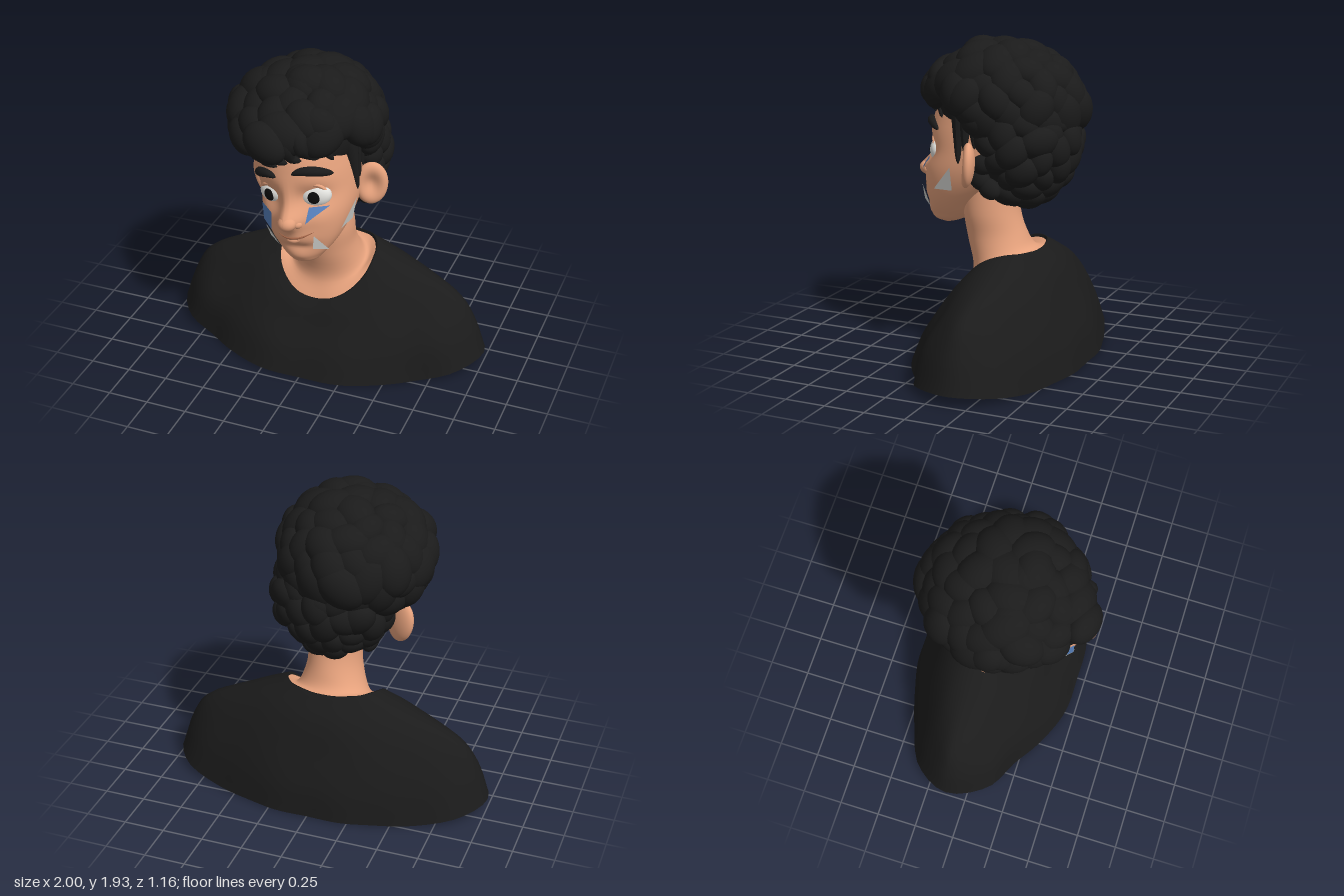
import * as THREE from 'three';

const mat = (name, color, side = THREE.FrontSide) => {
  const m = new THREE.MeshStandardMaterial({ color, side });
  m.name = name;
  return m;
};
const V = (x, y, z) => new THREE.Vector3(x, y, z);

function add(parent, name, geometry, material, pos = [0, 0, 0], scale = [1, 1, 1], rot = [0, 0, 0]) {
  const m = new THREE.Mesh(geometry, material);
  m.name = name;
  m.position.set(...pos);
  m.scale.set(...scale);
  m.rotation.set(...rot);
  parent.add(m);
  return m;
}

// Skin closed rings (running front, left, back, right) from bottom to top
function loft(rings, capBottom = false, capTop = false) {
  const n = rings[0].length, pos = [], idx = [];
  rings.forEach(r => r.forEach(p => pos.push(p.x, p.y, p.z)));
  for (let i = 0; i < rings.length - 1; i++) for (let j = 0; j < n; j++) {
    const a = i * n + j, b = i * n + (j + 1) % n;
    idx.push(a, b, b + n, a, b + n, a + n);
  }
  const cap = (ring, top) => {
    const c = pos.length / 3, mid = V(0, 0, 0);
    ring.forEach(p => mid.addScaledVector(p, 1 / n));
    [mid, ...ring].forEach(p => pos.push(p.x, p.y, p.z));
    for (let j = 0; j < n; j++) {
      const p = c + 1 + j, q = c + 1 + (j + 1) % n;
      idx.push(c, ...(top ? [p, q] : [q, p]));
    }
  };
  if (capBottom) cap(rings[0], false);
  if (capTop) cap(rings.at(-1), true);
  const g = new THREE.BufferGeometry();
  g.setAttribute('position', new THREE.Float32BufferAttribute(pos, 3));
  g.setIndex(idx);
  g.computeVertexNormals();
  return g;
}

// Full smooth ring from the points of its left half
function mirrorRing(half, n = 72) {
  const pts = half.map(p => V(...p));
  const other = half.slice(1, -1).reverse().map(([x, y, z]) => V(-x, y, z));
  const curve = new THREE.CatmullRomCurve3([...pts, ...other], true);
  return Array.from({ length: n }, (_, j) => curve.getPoint(j / n));
}

// Smooth extra rings between key rings
function refine(rings, steps) {
  const cols = rings[0].map((_, j) => new THREE.CatmullRomCurve3(rings.map(r => r[j])));
  return Array.from({ length: steps + 1 }, (_, i) => cols.map(c => c.getPoint(i / steps)));
}

// Tapered strand along a curve, thickest where profile(t) is 1
function strand(points, r, profile, seg = 18) {
  const curve = new THREE.CatmullRomCurve3(points.map(p => V(...p)));
  const g = new THREE.TubeGeometry(curve, seg, r, 10);
  const p = g.attributes.position, v = V(0, 0, 0);
  for (let i = 0; i < p.count; i++) {
    const t = Math.floor(i / 11) / seg, c = curve.getPointAt(t);
    v.fromBufferAttribute(p, i).sub(c).multiplyScalar(Math.max(0.02, profile(t))).add(c);
    p.setXYZ(i, v.x, v.y, v.z);
  }
  g.computeVertexNormals();
  return g;
}
const spindle = t => Math.pow(Math.sin(Math.PI * t), 0.5);
const pointed = t => Math.min(1, 0.6 + t * 2) * Math.sqrt(1 - t);

// Head form: per height, half width, front z and back z
const LEVELS = [-0.385, -0.372, -0.33, -0.26, -0.17, -0.07, 0.05, 0.2, 0.35, 0.5, 0.58];
const FORM = [0.01, 0.235, 0.215, 0.06, 0.28, 0.165, 0.12, 0.315, 0.085, 0.188, 0.325, 0, 0.243, 0.335, -0.12,
  0.28, 0.34, -0.24, 0.297, 0.335, -0.35, 0.3, 0.33, -0.42, 0.28, 0.29, -0.42, 0.2, 0.18, -0.33, 0.01, -0.04, -0.08];
const form = new THREE.CubicInterpolant(LEVELS, FORM, 3);
const headAt = y => {
  const [w, f, b] = form.evaluate(y);
  return { w: Math.max(0.004, w), c: (f + b) / 2, d: Math.max(0.004, (f - b) / 2) };
};
const POWER = 2.2;
// Features: x, y, spread x, spread y, height
const FEATURES = [[0, 0.01, 0.034, 0.08, 0.045], [0, -0.065, 0.05, 0.04, 0.07], [0.137, 0.055, 0.07, 0.05, -0.045],
  [-0.137, 0.055, 0.07, 0.05, -0.045], [0, -0.185, 0.1, 0.045, 0.025], [0.17, -0.08, 0.06, 0.05, 0.01],
  [-0.17, -0.08, 0.06, 0.05, 0.01], [0, -0.245, 0.07, 0.016, -0.015], [0, -0.31, 0.05, 0.03, 0.014]];
const bump = (x, y) => FEATURES.reduce((s, [a, b, sx, sy, h]) =>
  s + h * Math.exp(-(((x - a) / sx) ** 2 + ((y - b) / sy) ** 2) / 2), 0);
const faceZ = (x, y) => {
  const { w, c, d } = headAt(y);
  return c + d * Math.pow(1 - Math.min(1, Math.pow(Math.abs(x / w), POWER)), 1 / POWER) + bump(x, y);
};
const sideX = (y, z) => {
  const { w, c, d } = headAt(y);
  return w * Math.pow(1 - Math.min(1, Math.pow(Math.abs((z - c) / d), POWER)), 1 / POWER);
};
const onFace = ([x, y], lift = 0) => [x, y, faceZ(x, y) + lift];

function headGeometry(n = 90, m = 96) {
  const pow = v => Math.sign(v) * Math.pow(Math.abs(v), 2 / POWER);
  return loft(Array.from({ length: n + 1 }, (_, i) => {
    const y = -0.385 + 0.965 * (1 - Math.cos(Math.PI * i / n)) / 2, { w, c, d } = headAt(y);
    return Array.from({ length: m }, (_, j) => {
      const a = 2 * Math.PI * j / m, x = w * pow(Math.sin(a));
      const k = THREE.MathUtils.smoothstep(Math.cos(a), 0.05, 0.4);
      return V(x, y, c + d * pow(Math.cos(a)) + k * bump(x, y));
    });
  }), true, true);
}

function plate(corners) {
  const g = new THREE.BufferGeometry();
  g.setAttribute('position', new THREE.Float32BufferAttribute(corners.flat(), 3));
  g.setIndex(corners.slice(2).flatMap((_, i) => [0, i + 1, i + 2]));
  g.computeVertexNormals();
  return g;
}

export function createModel() {
  const model = new THREE.Group();
  model.name = 'bust';
  const skin = mat('skin', 0xe5a17c), hairMat = mat('hair black', 0x1b1b1b), cloth = mat('shirt black', 0x1b1b1b);
  const white = mat('eye white', 0xe4e4e0), black = mat('pupil black', 0x0c0c0c), lip = mat('mouth brown', 0xa8684a);
  const blue = mat('paint blue', 0x567fbb, THREE.DoubleSide), grey = mat('paint grey', 0xcccdc9, THREE.DoubleSide);

  // Shirt: base hem, arms, shoulders, slope, neckline, tucked collar edge
  const neckline = [[0, .415, .19], [.12, .437, .18], [.22, .495, .125], [.285, .575, .05], [.305, .64, -.03], [.3, .675, -.11],
    [.27, .69, -.18], [.22, .69, -.235], [.14, .685, -.265], [.07, .68, -.28], [0, .68, -.285]];
  const shirtRings = [
    [[0, 0, .45], [.25, 0, .44], [.5, 0, .34], [.67, 0, .23], [.88, .04, .12], [1, .06, -.13],
      [.88, .04, -.35], [.62, 0, -.47], [.38, 0, -.545], [.2, 0, -.585], [0, 0, -.585]],
    [[0, .15, .38], [.23, .16, .375], [.45, .18, .29], [.62, .2, .2], [.8, .24, .1], [.93, .27, -.13],
      [.8, .25, -.31], [.58, .2, -.43], [.36, .18, -.51], [.18, .17, -.55], [0, .17, -.555]],
    [[0, .28, .29], [.2, .3, .28], [.4, .33, .22], [.55, .37, .12], [.7, .41, .02], [.83, .425, -.13],
      [.72, .42, -.25], [.52, .4, -.36], [.33, .38, -.44], [.17, .37, -.47], [0, .37, -.475]],
    [[0, .36, .24], [.14, .385, .23], [.28, .44, .17], [.39, .52, .075], [.46, .575, -.03], [.5, .59, -.14],
      [.46, .585, -.23], [.36, .57, -.31], [.24, .56, -.36], [.12, .56, -.385], [0, .56, -.39]],
    neckline].map(r => mirrorRing(r));
  const inset = (r, k, dy) => r.map(p => V(p.x * k, p.y + dy, (p.z + 0.05) * k - 0.05));
  const rim = shirtRings[4];
  add(model, 'shirt', loft([...refine(shirtRings, 24), inset(rim, 0.97, 0), inset(rim, 0.95, -0.04)], true), cloth);

  // Neck rising out of the neckline
  const oval = (cx, rx, yf, yb, zf, zb) => rim.map((_, j) => {
    const a = 2 * Math.PI * j / rim.length, f = (1 + Math.cos(a)) / 2;
    return V(cx + rx * Math.sin(a), yb + (yf - yb) * f, zb + (zf - zb) * f);
  });
  add(model, 'neck', loft(refine([inset(rim, 0.98, -0.015), oval(0.01, 0.23, 0.53, 0.69, 0.13, -0.23),
    oval(0.02, 0.172, 0.72, 0.77, 0.17, -0.19), oval(0.025, 0.163, 0.88, 0.9, 0.197, -0.15),
    oval(0, 0.165, 1.08, 1.08, 0.2, -0.14)], 20)), skin);

  // Tilted head
  const head = new THREE.Group();
  head.name = 'head';
  head.position.set(-0.03, 1.17, 0.1);
  head.rotation.set(0, -0.07, 0.165, 'ZYX');
  model.add(head);
  add(head, 'face', headGeometry(), skin);
  const ball = new THREE.SphereGeometry(1, 32, 20);
  add(head, 'noseTip', ball, skin, [0, -0.066, 0.385], [0.056, 0.046, 0.054]);

  // Dished ear
  const earGeo = new THREE.SphereGeometry(1, 32, 28);
  const ep = earGeo.attributes.position;
  for (let i = 0; i < ep.count; i++) {
    const r2 = ep.getX(i) ** 2 + ep.getY(i) ** 2;
    if (ep.getZ(i) > 0) ep.setZ(i, ep.getZ(i) - 1.1 * Math.exp(-r2 * 3.5));
  }
  earGeo.computeVertexNormals();

  for (const s of [1, -1]) {
    const side = s > 0 ? 'left' : 'right';
    add(head, side + 'Nostril', ball, skin, [s * 0.046, -0.082, 0.35], [0.034, 0.028, 0.036]);
    add(head, side + 'Ear', earGeo, skin, [s > 0 ? 0.342 : -0.368, -0.01, -0.065], [0.098, 0.133, 0.048], [0, s * 0.5, -s * 0.15]);
    // Eyes, lids and brows
    const ex = s * 0.137, h = s > 0 ? 0.074 : 0.062;
    add(head, side + 'Eye', ball, white, [ex, 0.058, 0.243], [0.094, h, 0.05], [0, s * 0.3, 0]);
    add(head, side + 'Pupil', ball, black, [ex + s * 0.008, 0.058, 0.285], [0.036, 0.038, 0.013], [0, s * 0.3, 0]);
    add(head, side + 'UpperLid', strand([[ex - s * 0.09, 0.055, 0.275], [ex - s * 0.045, 0.052 + h, 0.283],
      [ex + s * 0.03, 0.057 + h, 0.262], [ex + s * 0.09, 0.055, 0.22]], 0.014, spindle), skin);
    const raise = s > 0 ? 0.004 : -0.018;
    add(head, side + 'Brow', strand([[0.05, 0.218], [0.1, 0.232], [0.165, 0.224], [0.25, 0.176]]
      .map(([x, y]) => onFace([s * x, y + raise], 0.008)), 0.029, spindle), hairMat);
  }

  // Crooked smile
  const smile = [[-0.1, -0.158], [-0.05, -0.174], [0, -0.176], [0.06, -0.17], [0.125, -0.148]];
  add(head, 'mouthLine', strand(smile.map(p => onFace(p)), 0.006, spindle), lip);
  add(head, 'lowerLip', strand([[-0.05, -0.193], [0, -0.198], [0.05, -0.19]].map(p => onFace(p, -0.006)), 0.014, spindle), skin);

  // Painted face marks
  const mark = (name, pts, m) => add(head, name, plate(pts.map(p => onFace(p, 0.027))), m);
  mark('rightBlueMark', [[-.21, 0], [-.115, -.028], [-.138, -.136], [-.228, -.12]], blue);
  mark('leftBlueMark', [[.145, -.045], [.225, 0], [.12, .01], [.104, -.075]], blue);
  mark('rightGreyMark', [[-.205, -.133], [-.135, -.165], [-.1, -.245], [-.17, -.2]], grey);
  add(head, 'leftGreyMark', plate([onFace([.135, -.16], .027), [.17, -.29, .255], onFace([.108, -.25], .03)]), grey);
  add(head, 'cheekGreyMark', plate([[-.036, .07], [-.174, .07], [-.174, .2]]
    .map(([y, z]) => [sideX(y, z) + 0.018, y, z])), grey);

  // Hair: two base volumes covered with rounded curls
  const hair = new THREE.Group();
  hair.name = 'hair';
  head.add(hair);
  let seed = 7;
  const rnd = () => (seed = (seed * 16807) % 2147483647) / 2147483647;
  const curlGeo = new THREE.SphereGeometry(1, 22, 14);
  const curl = (p, normal, r) => {
    const c = add(hair, 'curl', curlGeo, hairMat, p, [r * 1.25, r, r * 0.8]);
    c.quaternion.setFromUnitVectors(V(0, 0, 1), normal);
    c.rotateZ(rnd() * Math.PI);
  };
  const volume = (name, c, rad, count, keep, size) => {
    add(hair, name, ball, hairMat, c, rad);
    for (let i = 0; i < count; i++) {
      const y = 1 - 2 * (i + 0.5) / count, q = Math.sqrt(1 - y * y), a = i * 2.39996;
      const d = [q * Math.cos(a), y, q * Math.sin(a)], reach = 0.95 + 0.08 * rnd();
      const p = d.map((v, k) => c[k] + v * rad[k] * reach), r = size * (0.85 + 0.4 * rnd());
      if (keep(...p)) curl(p, V(...d.map((v, k) => v / rad[k])).normalize(), r);
    }
  };
  volume('crown', [-0.03, 0.37, -0.1], [0.395, 0.305, 0.425], 95,
    (x, y, z) => y > (z > 0.1 ? 0.42 : z > -0.16 ? 0.29 : 0.05), 0.105);
  volume('nape', [0, 0.15, -0.25], [0.32, 0.335, 0.3], 80, (x, y, z) => z < -0.16 && y < 0.32, 0.075);
  // Curls that stand out of the outline: position, radius
  for (const [x, y, z, r] of [[-0.05, 0.44, 0.38, 0.115], [-0.25, 0.42, 0.26, 0.1], [0.1, 0.66, 0.03, 0.11],
    [-0.2, 0.63, 0.02, 0.105], [-0.42, 0.48, -0.05, 0.1], [-0.4, 0.3, -0.06, 0.1], [0.39, 0.38, -0.05, 0.1],
    [0.35, 0.24, -0.12, 0.08], [-0.35, 0.18, -0.13, 0.08], [0.22, 0.5, 0.22, 0.09],
    [0.22, 0.15, -0.46, 0.1], [-0.22, 0.15, -0.46, 0.1], [0, 0.16, -0.52, 0.1]])
    curl([x, y, z], V(x, y - 0.37, z + 0.1).normalize(), r);
  // Curls tucked behind and below the ears
  for (const s of [1, -1]) for (const [x, y, z, r] of [[0.25, -0.09, -0.11, 0.06], [0.24, -0.14, -0.17, 0.06], [0.28, 0, -0.14, 0.06]])
    curl([s * x, y, z], V(s, 0, 0), r);

  // Fringe locks: root x, tip x, tip y
  for (const [a, b, y] of [[-0.3, -0.27, 0.24], [-0.22, -0.2, 0.29], [-0.14, -0.13, 0.3], [-0.12, -0.03, 0.265],
    [-0.03, 0.04, 0.29], [0.06, 0.12, 0.3], [0.13, 0.2, 0.29], [0.22, 0.25, 0.25]]) {
    const z = x => faceZ(x, 0.3) + 0.03;
    add(hair, 'fringeLock', strand([[a, 0.5, z(a) - 0.01], [a * 0.8 + b * 0.2, 0.41, z(a) + 0.03],
      [a * 0.4 + b * 0.6 - 0.02, 0.33, z(b) + 0.02], [b, y, z(b) - 0.01]], 0.058, pointed), hairMat);
  }
  // Sideburns, filling the temple in front of the ear
  for (const s of [1, -1]) for (const [z, end] of [[0.025, -0.01], [-0.02, 0.04], [-0.08, 0.08]])
    add(hair, 'sideburn', strand([[s * 0.295, 0.38, z + 0.01], [s * 0.293, 0.24, z + 0.005],
      [s * 0.288, 0.12, z], [s * 0.292, end, z - 0.005]], 0.056, pointed), hairMat);

  return model;
}
